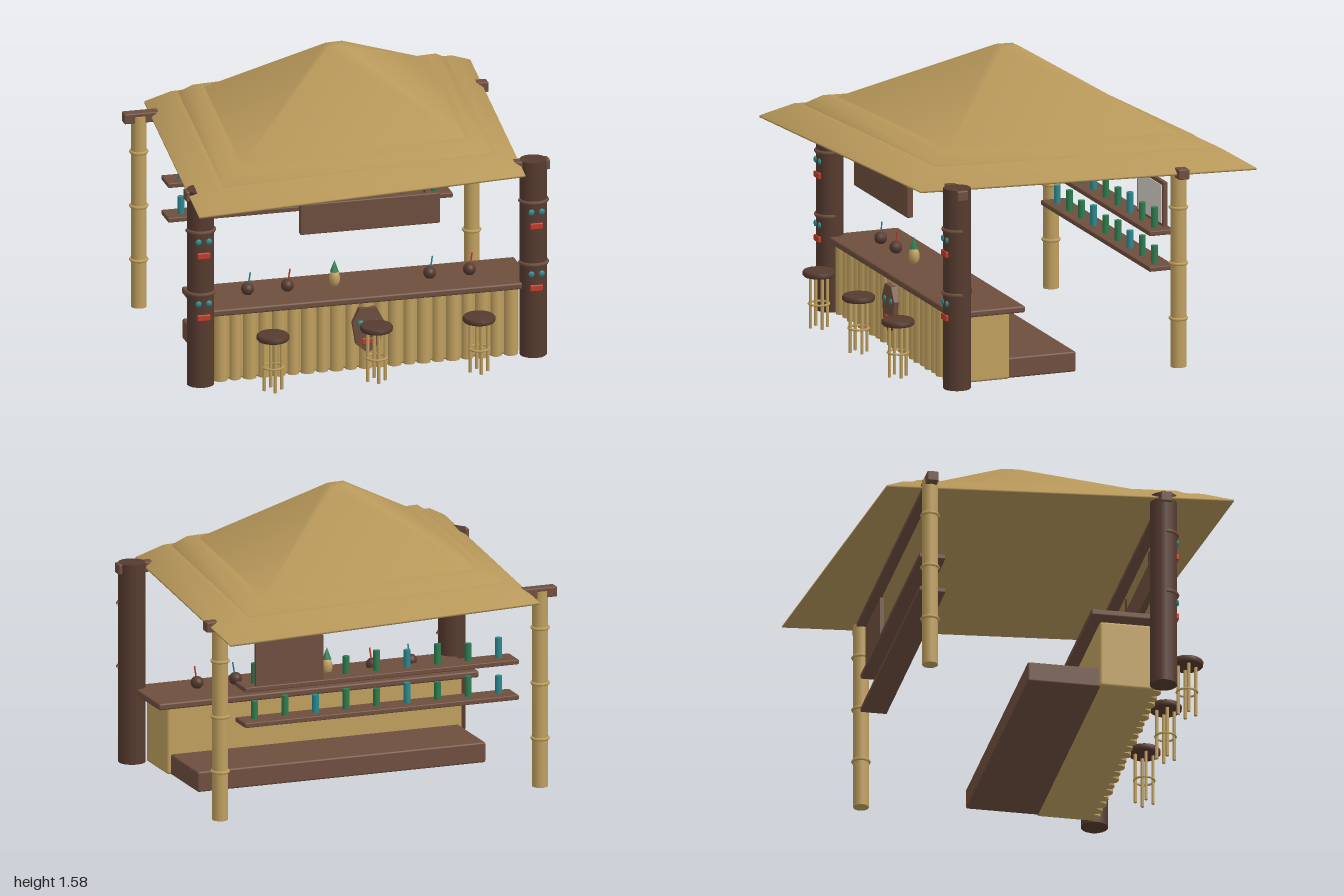
import * as THREE from 'three';
import { RoundedBoxGeometry } from 'three/addons/geometries/RoundedBoxGeometry.js';

const mat = (name, color, side = THREE.FrontSide) => {
  const m = new THREE.MeshStandardMaterial({ color, side });
  m.name = name;
  return m;
};

export function createModel() {
  const M = {
    thatch: mat('thatch', 0xb8985a, THREE.DoubleSide),
    bamboo: mat('bamboo', 0xc0a05f),
    wood: mat('wood', 0x6e4e3e),
    dark: mat('dark wood', 0x563b2f),
    teal: mat('teal', 0x2a8a90),
    green: mat('green', 0x2e7d50),
    red: mat('red', 0xc23b2a),
    pale: mat('pale board', 0xd8d4c8),
  };
  const model = new THREE.Group();
  model.name = 'beachBar';

  const add = (name, geo, material, x = 0, y = 0, z = 0, parent = model) => {
    const mesh = new THREE.Mesh(geo, material);
    mesh.name = name;
    mesh.position.set(x, y, z);
    parent.add(mesh);
    return mesh;
  };
  const group = (name, x = 0, y = 0, z = 0) => {
    const g = new THREE.Group();
    g.name = name;
    g.position.set(x, y, z);
    model.add(g);
    return g;
  };
  const box = (w, h, d) => new THREE.BoxGeometry(w, h, d);
  const rbox = (w, h, d, r = 0.01) => new RoundedBoxGeometry(w, h, d, 2, r);
  const cyl = (r, h, n = 12) => new THREE.CylinderGeometry(r, r, h, n);
  const ring = (r, tube, arc = Math.PI * 2) => new THREE.TorusGeometry(r, tube, 6, 20, arc).rotateX(Math.PI / 2);

  // Roof: three overlapping four-sided thatch layers on a skewed plan
  const layers = [
    [[0, 1.05], [1, 1.045], [1, 1.055], [0.86, 1.14], [0.78, 1.14]],
    [[0.823, 1.135], [0.82, 1.145], [0.745, 1.2], [0.65, 1.2]],
    [[0.695, 1.195], [0.05, 1.575], [0, 1.575]],
  ];
  layers.forEach((pts, i) => {
    const profile = pts.map(([r, y]) => new THREE.Vector2(r * Math.SQRT2, y));
    const geo = new THREE.LatheGeometry(profile, 4).scale(1, 1, 0.813).rotateY(Math.PI / 4);
    add('roofLayer' + (i + 1), geo, M.thatch);
  });

  // Beams running across the front and back posts
  add('frontBeam', rbox(1.97, 0.055, 0.06, 0.006), M.wood, 0, 1.052, 0.645);
  add('backBeam', rbox(1.97, 0.055, 0.06, 0.006), M.wood, 0, 1.052, -0.6);

  // A pair of eyes and a mouth, shared by posts and mask
  const face = (parent, eyeX, eyeY, mouthY, z) => {
    for (const s of [-1, 1]) {
      add('eye', new THREE.SphereGeometry(0.017, 10, 8).scale(1, 1, 0.5), M.teal, s * eyeX, eyeY, z, parent);
    }
    add('mouth', rbox(0.07, 0.034, 0.016, 0.005), M.red, 0, mouthY, z, parent);
  };

  for (const s of [-1, 1]) {
    // Carved front posts with two stacked faces
    const post = group('frontPost', s * 0.9, 0, 0.645);
    add('postShaft', cyl(0.072, 1.08, 16), M.dark, 0, 0.54, 0, post);
    for (const y of [0.515, 0.858]) {
      add('browRing', ring(0.072, 0.011, Math.PI), M.wood, 0, y, 0, post);
      face(post, 0.028, y - 0.05, y - 0.127, 0.069);
    }
    // Bamboo back posts with nodes
    const cane = group('backPost', s * 0.9, 0, -0.6);
    add('caneShaft', cyl(0.042, 1.06, 12), M.bamboo, 0, 0.53, 0, cane);
    for (const y of [0.262, 0.56, 0.86]) add('caneNode', ring(0.043, 0.009), M.bamboo, 0, y, 0, cane);
  }

  // Counter with bamboo cladding
  add('counterBody', rbox(1.66, 0.37, 0.3, 0.015), M.bamboo, 0, 0.185, 0.47);
  add('counterTop', rbox(1.8, 0.036, 0.41, 0.01), M.wood, 0, 0.388, 0.465);
  for (let i = 0; i < 21; i++) {
    add('counterSlat', cyl(i % 2 ? 0.032 : 0.038, 0.365, 10), M.bamboo, -0.785 + i * 0.0785, 0.1835, 0.617);
  }
  add('platform', rbox(1.62, 0.11, 0.39, 0.01), M.wood, 0, 0.055, 0.135);

  // Mask on the counter front
  const mask = group('mask', 0, 0.22, 0.64);
  const outline = [[0, -0.125], [0.065, -0.07], [0.085, 0.05], [0.045, 0.125], [-0.045, 0.125], [-0.085, 0.05], [-0.065, -0.07]];
  const maskShape = new THREE.Shape(outline.map(([x, y]) => new THREE.Vector2(x, y)));
  add('maskPlate', new THREE.ExtrudeGeometry(maskShape, { depth: 0.035, bevelEnabled: false }), M.wood, 0, 0, 0, mask);
  face(mask, 0.042, 0.045, -0.055, 0.036);

  // Bar stools
  for (const x of [-0.56, 0, 0.555]) {
    const stool = group('stool', x, 0, 0.84);
    const seat = [[0, 0.278], [0.08, 0.278], [0.086, 0.285], [0.086, 0.303], [0.078, 0.311], [0, 0.311]];
    add('stoolSeat', new THREE.LatheGeometry(seat.map(p => new THREE.Vector2(...p)), 18), M.dark, 0, 0, 0, stool);
    for (let i = 0; i < 4; i++) {
      const a = i * Math.PI / 2;
      add('stoolLeg', cyl(0.009, 0.28, 8), M.bamboo, 0.047 * Math.cos(a), 0.14, 0.047 * Math.sin(a), stool);
    }
    add('footRing', ring(0.054, 0.006), M.bamboo, 0, 0.13, 0, stool);
  }

  // Hanging sign
  add('sign', rbox(0.755, 0.168, 0.035, 0.006), M.wood, 0, 0.882, 0.7);
  for (const x of [-0.3, 0.3]) add('signRope', cyl(0.005, 0.1, 6), M.dark, x, 1.01, 0.69);

  // Back shelves with bottles
  for (const [k, y] of [0.5, 0.692].entries()) {
    add('shelf', rbox(1.54, 0.026, 0.14, 0.005), M.wood, 0, y, -0.56);
    for (let i = 0; i < 9; i++) {
      const h = (i + k) % 2 ? 0.108 : 0.094;
      add('bottle', cyl(0.0185, h, 10), i % 3 ? M.green : M.teal, -0.686 + i * 0.1715, y + 0.013 + h / 2, -0.55);
    }
  }

  // Menu board behind the upper shelf
  add('boardFrame', box(0.38, 0.245, 0.02), M.wood, 0.515, 0.823, -0.605);
  add('boardPanel', box(0.335, 0.205, 0.006), M.pale, 0.515, 0.823, -0.593);

  // Coconut drinks with straws
  [-0.6, -0.385, 0.385, 0.6].forEach((x, i) => {
    const drink = group('coconutDrink', x, 0.44, 0.477);
    add('coconut', new THREE.IcosahedronGeometry(0.035, 1), M.dark, 0, 0, 0, drink);
    add('straw', cyl(0.004, 0.09, 6), i % 2 ? M.red : M.teal, 0.008, 0.045, 0, drink).rotation.z = -0.15;
  });

  // Pineapple
  const pineapple = group('pineapple', -0.13, 0.405, 0.477);
  add('pineappleFruit', new THREE.SphereGeometry(0.03, 12, 10).scale(1, 1.6, 1), M.bamboo, 0, 0.05, 0, pineapple);
  add('pineappleLeaves', new THREE.ConeGeometry(0.024, 0.065, 6), M.green, 0, 0.12, 0, pineapple);

  return model;
}
